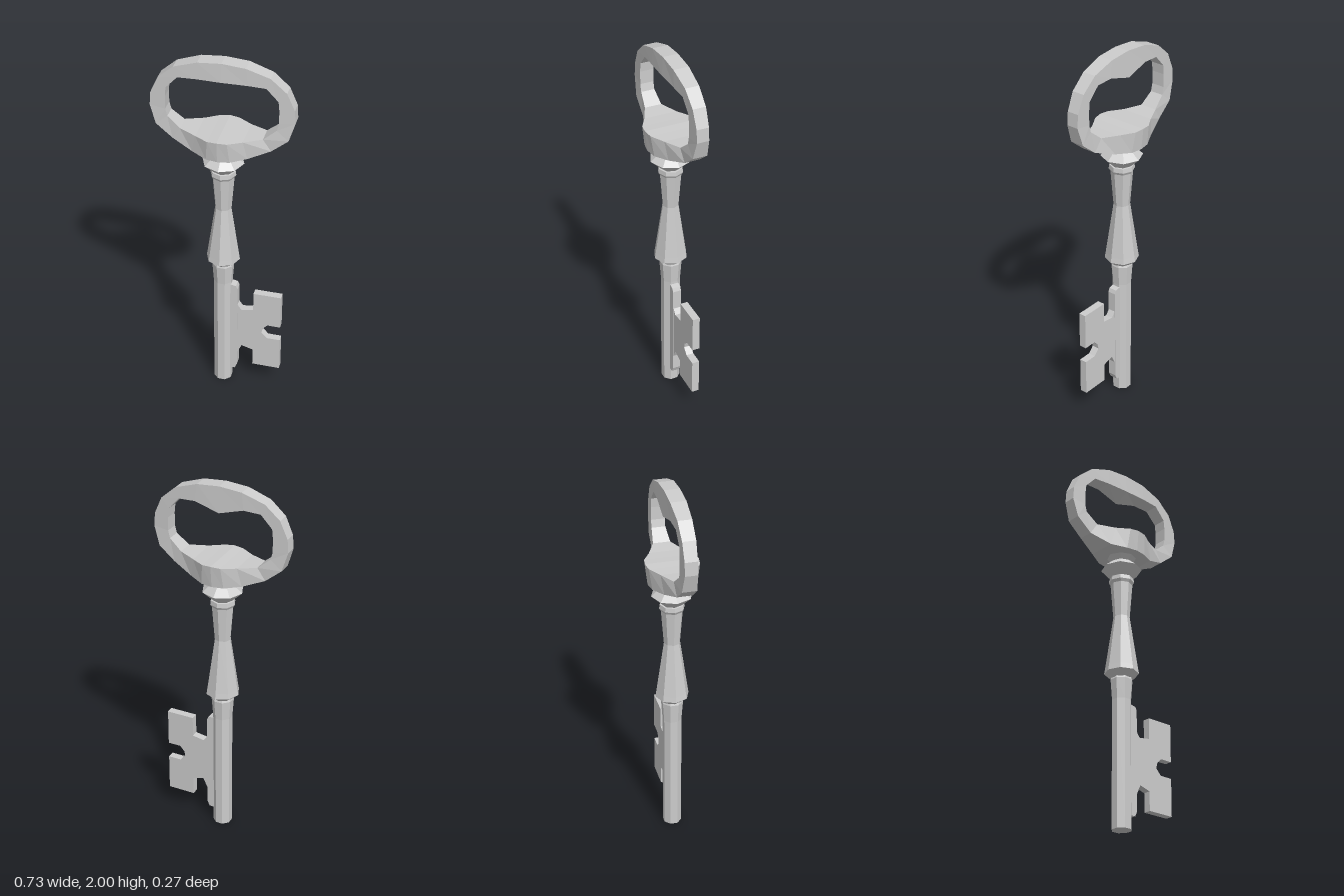
import * as THREE from 'three';

const metal = new THREE.MeshStandardMaterial({ color: 0xcccccc, flatShading: true });

function part(name, geometry) {
  const mesh = new THREE.Mesh(geometry, metal);
  mesh.name = name;
  return mesh;
}

// Faceted turned piece from [radius, y] pairs, listed bottom to top
function turned(name, profile, sides, phase = 0) {
  const points = profile.map(([r, y]) => new THREE.Vector2(r, y));
  return part(name, new THREE.LatheGeometry(points, sides, phase));
}

// Oval handle: four-cornered sections swept round the ring, swelling in z at the foot
function bowGeometry() {
  // [outer x, outer y, inner x, inner y, outer half depth, inner half depth]
  const half = [
    [0, 2.0, 0, 1.9, 0.04, 0.045],
    [0.12, 1.99, 0.13, 1.9, 0.04, 0.042],
    [0.24, 1.95, 0.22, 1.895, 0.036, 0.038],
    [0.32, 1.88, 0.28, 1.83, 0.034, 0.036],
    [0.36, 1.79, 0.285, 1.78, 0.032, 0.036],
    [0.365, 1.72, 0.285, 1.71, 0.032, 0.036],
    [0.335, 1.62, 0.275, 1.67, 0.038, 0.036],
    [0.25, 1.55, 0.21, 1.615, 0.04, 0.045],
    [0.14, 1.51, 0.12, 1.61, 0.075, 0.088],
    [0.06, 1.5, 0.05, 1.612, 0.115, 0.13],
    [0, 1.5, 0, 1.615, 0.125, 0.137],
  ];
  const mirrored = half.slice(1, -1).reverse().map(([ox, oy, ix, iy, od, id]) => [-ox, oy, -ix, iy, od, id]);
  const ring = [...half, ...mirrored];
  const positions = [];
  const index = [];
  ring.forEach(([ox, oy, ix, iy, od, id], i) => {
    const dip = i === 0 ? 0.038 : 0; // small sag on the rear inner edge at the crown
    positions.push(ox, oy, od, ox, oy, -od, ix, iy - dip, -id, ix, iy, id);
    const next = (i + 1) % ring.length;
    for (let k = 0; k < 4; k++) {
      const m = (k + 1) % 4;
      const a = i * 4 + k, b = next * 4 + k, c = next * 4 + m, d = i * 4 + m;
      index.push(a, b, d, b, c, d);
    }
  });
  const geometry = new THREE.BufferGeometry();
  geometry.setAttribute('position', new THREE.Float32BufferAttribute(positions, 3));
  geometry.setIndex(index);
  geometry.computeVertexNormals();
  return geometry;
}

// Flat plate cut from an outline in the xy plane, centred on z = 0
function plate(name, outline, thickness) {
  const shape = new THREE.Shape(outline.map(([x, y]) => new THREE.Vector2(x, y)));
  const geometry = new THREE.ExtrudeGeometry(shape, { depth: thickness, bevelEnabled: false });
  geometry.translate(0, 0, -thickness / 2);
  return part(name, geometry);
}

export function createModel() {
  const key = new THREE.Group();
  key.name = 'key';

  key.add(part('bow', bowGeometry()));

  // Pointed bead and neck below the bow
  key.add(turned('collarBead', [
    [0, 1.36], [0.045, 1.37], [0.108, 1.43], [0.055, 1.475], [0.09, 1.515], [0, 1.53],
  ], 8));

  // Waisted grip with a flared foot
  key.add(turned('grip', [
    [0, 0.79], [0.055, 0.8], [0.09, 0.83], [0.085, 0.86], [0.043, 1.15],
    [0.058, 1.34], [0.067, 1.355], [0.064, 1.378], [0, 1.385],
  ], 8));

  // Straight lower shaft with a slight shoulder
  key.add(turned('shaft', [
    [0, 0], [0.051, 0], [0.051, 0.68], [0.059, 0.79], [0.045, 0.825], [0, 0.825],
  ], 8, Math.PI / 8));

  // Strip joining the bit to the shaft
  key.add(plate('bitRib', [
    [0.03, 0.08], [0.07, 0.08], [0.083, 0.11], [0.083, 0.64], [0.075, 0.66], [0.03, 0.67],
  ], 0.046));

  // Toothed bit
  key.add(plate('bit', [
    [0.05, 0.2], [0.085, 0.2], [0.108, 0.25], [0.17, 0.232], [0.17, 0.13], [0.32, 0.13],
    [0.32, 0.332], [0.248, 0.332], [0.218, 0.365], [0.225, 0.395], [0.25, 0.422], [0.32, 0.422],
    [0.32, 0.625], [0.17, 0.625], [0.17, 0.512], [0.105, 0.502], [0.085, 0.53], [0.05, 0.53],
  ], 0.04));

  return key;
}
